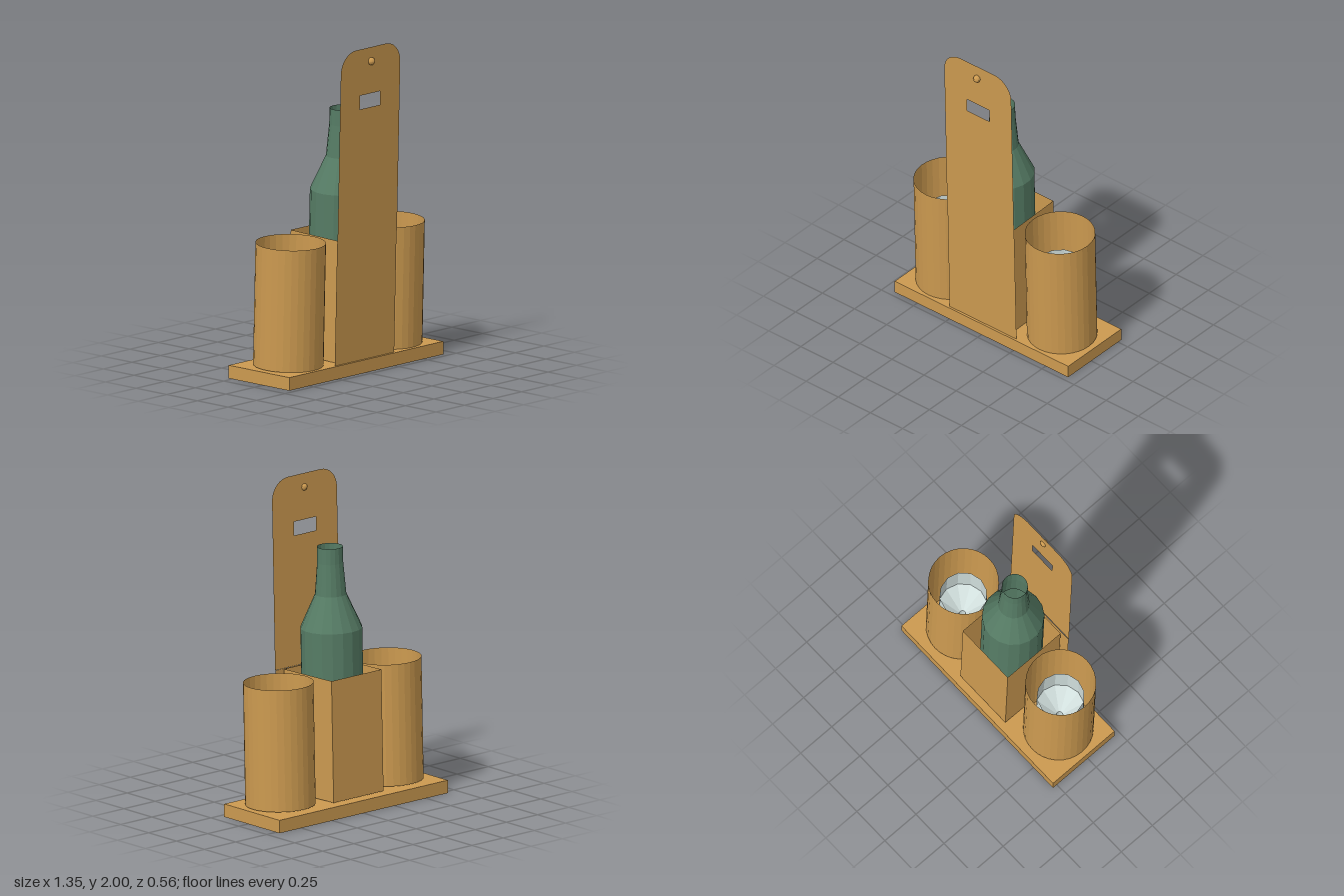
import * as THREE from 'three';

const material = (name, color, extra = {}) =>
  new THREE.MeshStandardMaterial({ name, color, side: THREE.DoubleSide, flatShading: true, ...extra });

export function createModel() {
  const wood = material('wood', 0xcc9a50);
  const green = material('bottleGreen', 0x567c65);
  const clear = material('paleGlass', 0xd0dedc);

  const model = new THREE.Group();
  model.name = 'bottleCaddy';

  // everything above the base leans slightly forward about the front edge
  const holder = new THREE.Group();
  holder.name = 'leaningHolder';
  holder.position.set(0, 0.08, 0.2);
  holder.rotation.x = 0.026;
  model.add(holder);

  const add = (parent, name, geometry, mat, x = 0, y = 0, z = 0) => {
    const mesh = new THREE.Mesh(geometry, mat);
    mesh.name = name;
    mesh.position.set(x, y, z);
    parent.add(mesh);
    return mesh;
  };
  const lathe = (points, sides) =>
    new THREE.LatheGeometry(points.map(([r, y]) => new THREE.Vector2(r, y)), sides);

  // base board
  add(model, 'base', new THREE.BoxGeometry(1.35, 0.08, 0.495), wood, 0, 0.04, -0.0325);

  // open tubes, each holding a stemmed glass with a hollow stem
  const wall = 0.75;
  for (const side of [-1, 1]) {
    const prefix = side > 0 ? 'left' : 'right';
    const x = side * 0.433;
    add(holder, prefix + 'Tube',
      new THREE.CylinderGeometry(0.211, 0.211, wall, 32, 1, true), wood, x, wall / 2, -0.2185);
    add(holder, prefix + 'Glass',
      lathe([[0.11, 0.005], [0.02, 0.025], [0.02, 0.2], [0.147, 0.32], [0.142, 0.52]], 12),
      clear, x, 0, -0.2135);
  }

  // open square box in the middle
  for (const side of [-1, 1]) {
    add(holder, side > 0 ? 'boxLeftWall' : 'boxRightWall',
      new THREE.PlaneGeometry(0.425, wall), wood, side * 0.2, wall / 2, -0.2225).rotation.y = side * Math.PI / 2;
  }
  add(holder, 'boxBackWall', new THREE.PlaneGeometry(0.4, wall), wood, 0, wall / 2, -0.435).rotation.y = Math.PI;
  add(holder, 'boxFrontWall', new THREE.PlaneGeometry(0.4, wall), wood, 0, wall / 2, -0.01);
  add(holder, 'frontPanel', new THREE.PlaneGeometry(0.52, wall), wood, 0, wall / 2, 0);

  // tall handle panel with rounded top corners and a slot
  const w = 0.26, top = 1.92, r = 0.13;
  const panel = new THREE.Shape();
  panel.moveTo(-w, wall);
  panel.lineTo(w, wall);
  panel.lineTo(w, top - r);
  panel.absarc(w - r, top - r, r, 0, Math.PI / 2);
  panel.lineTo(-w + r, top);
  panel.absarc(-w + r, top - r, r, Math.PI / 2, Math.PI);
  panel.closePath();
  const slot = new THREE.Path();
  slot.moveTo(-0.088, 1.55);
  slot.lineTo(-0.088, 1.635);
  slot.lineTo(0.088, 1.635);
  slot.lineTo(0.088, 1.55);
  slot.closePath();
  panel.holes.push(slot);
  add(holder, 'handlePanel', new THREE.ShapeGeometry(panel, 8), wood, 0, 0, 0.003);

  // round peg near the top of the panel
  add(holder, 'peg', new THREE.SphereGeometry(0.023, 12, 8), wood, 0, 1.834, 0.009);

  // bottle with an open mouth
  add(holder, 'bottle', lathe([
    [0, 0.01], [0.187, 0.01], [0.187, 1.01], [0.095, 1.215], [0.079, 1.41], [0.078, 1.508],
  ], 18), green, 0, 0, -0.217);

  return model;
}
